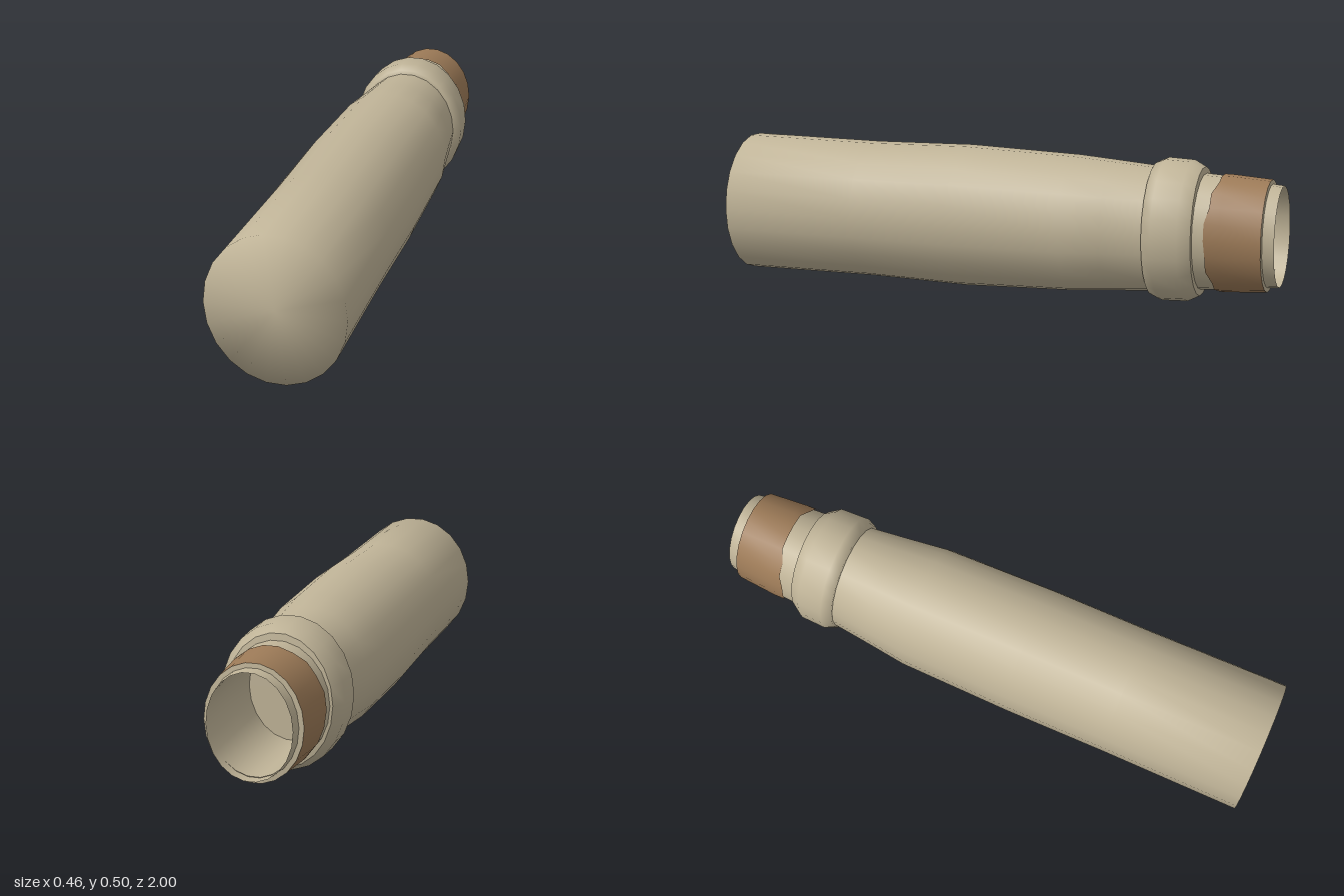
import * as THREE from 'three';

const SIDES = 22;
const CENTRE_Y = 0.255;

// Lofts elliptical rings [z, halfWidth, halfHeight] from front to back.
// shiftZ(ringIndex, angle) can make an edge uneven.
function loft(name, rings, material, shiftZ = () => 0) {
  const positions = [];
  const indices = [];
  rings.forEach(([z, rx, ry], i) => {
    for (let j = 0; j < SIDES; j++) {
      const a = (j / SIDES) * Math.PI * 2;
      positions.push(rx * Math.cos(a), CENTRE_Y + ry * Math.sin(a), z + shiftZ(i, a));
    }
  });
  for (let i = 0; i < rings.length - 1; i++) {
    for (let j = 0; j < SIDES; j++) {
      const k = (j + 1) % SIDES;
      const a = i * SIDES + j, b = i * SIDES + k;
      const c = a + SIDES, d = b + SIDES;
      if (rings[i][1] > 0) indices.push(a, c, b);
      if (rings[i + 1][1] > 0) indices.push(b, c, d);
    }
  }
  const geometry = new THREE.BufferGeometry();
  geometry.setAttribute('position', new THREE.Float32BufferAttribute(positions, 3));
  geometry.setIndex(indices);
  geometry.computeVertexNormals();
  const mesh = new THREE.Mesh(geometry, material);
  mesh.name = name;
  return mesh;
}

export function createModel() {
  const tan = new THREE.MeshStandardMaterial({ color: 0xbfb397 });
  tan.name = 'tan';
  const brown = new THREE.MeshStandardMaterial({ color: 0x9c7a57 });
  brown.name = 'brown';

  const group = new THREE.Group();
  group.name = 'handle';

  group.add(
    // Long grip, closed by a flat end that shares its smooth normals
    loft('grip', [
      [1, 0, 0], [1, 0.23, 0.254], [0.5, 0.226, 0.248], [0.13, 0.227, 0.254],
      [-0.28, 0.22, 0.239], [-0.42, 0.202, 0.228], [-0.58, 0.183, 0.215],
    ], tan),

    // Rounded collar
    loft('collar', [
      [-0.565, 0.17, 0.2], [-0.565, 0.192, 0.232], [-0.6, 0.209, 0.247],
      [-0.69, 0.206, 0.243], [-0.73, 0.178, 0.222],
    ], tan),
    loft('collarBack', [[-0.73, 0.178, 0.222], [-0.735, 0.16, 0.19]], tan),

    // Neck under the wrap
    loft('neck', [[-0.72, 0.17, 0.2], [-0.955, 0.156, 0.186]], tan),

    // Brown wrap with an uneven front edge
    loft('wrap', [[-0.785, 0.171, 0.201], [-0.82, 0.171, 0.201], [-0.96, 0.16, 0.191]], brown,
      (i, a) => (i === 0 ? 0.014 * Math.cos(2 * a) + 0.005 * Math.sin(9 * a) : 0)),
    loft('wrapBack', [[-0.96, 0.16, 0.191], [-0.962, 0.14, 0.17]], tan),

    // Narrow lip and the hollow mouth
    loft('lip', [[-0.95, 0.146, 0.177], [-1, 0.138, 0.172]], tan),
    loft('mouth', [
      [-1, 0.138, 0.172], [-0.96, 0.139, 0.172], [-0.76, 0.145, 0.175], [-0.6, 0.145, 0.175],
    ], tan),
    loft('mouthFloor', [[-0.6, 0.145, 0.175], [-0.6, 0, 0]], tan),
  );

  return group;
}
